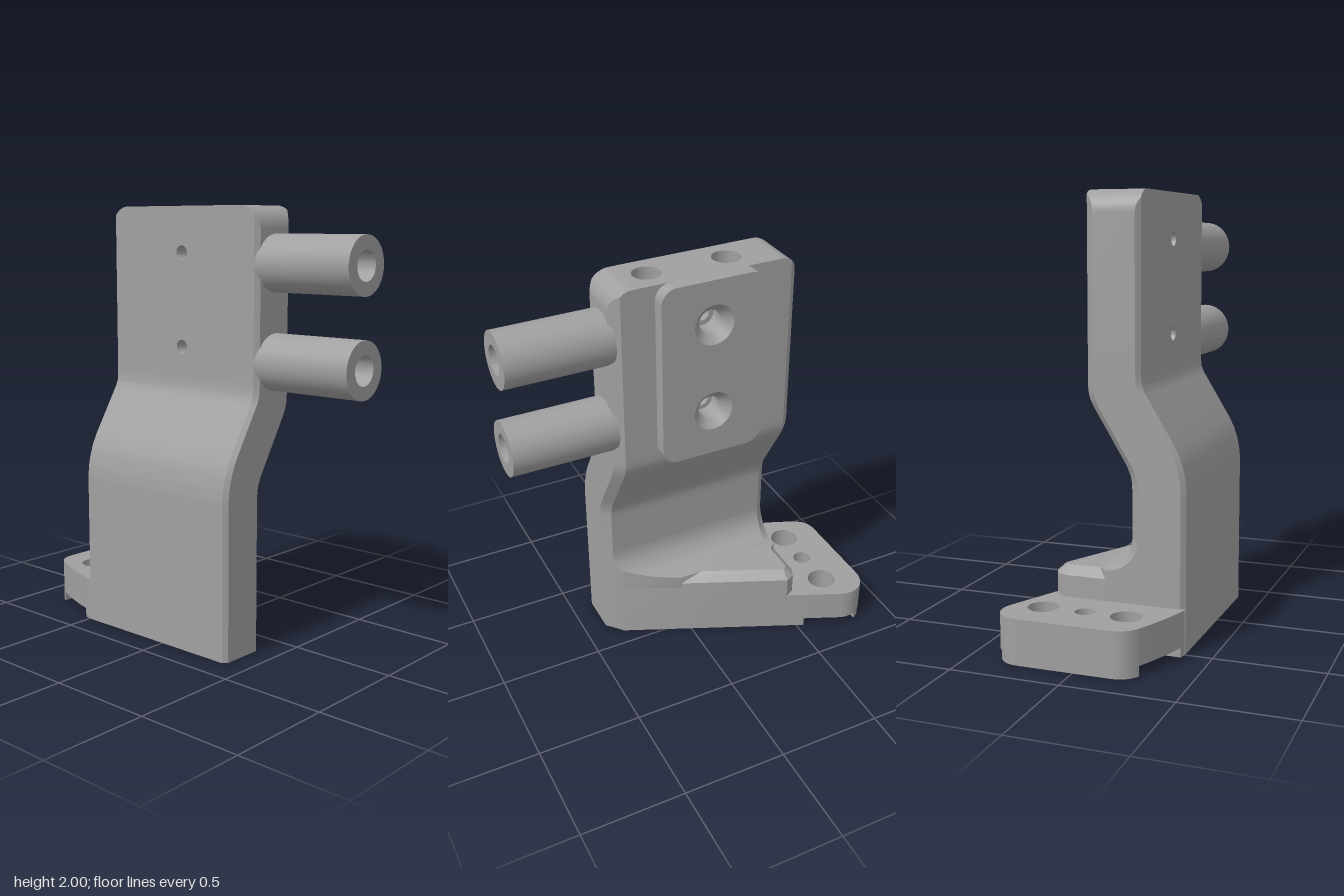
import * as THREE from 'three';
import { toCreasedNormals } from 'three/addons/utils/BufferGeometryUtils.js';

const metal = new THREE.MeshStandardMaterial({ color: 0xa0a0a0, side: THREE.DoubleSide });
metal.name = 'grey metal';

function add(parent, name, geometry) {
  const mesh = new THREE.Mesh(toCreasedNormals(geometry, 0.45), metal);
  mesh.name = name;
  parent.add(mesh);
  return mesh;
}

// Skin between rings of [x, y, z] points; skip(i, j) leaves a quad open
function loft(rings, skip = () => false) {
  const n = rings[0].length, index = [];
  for (let i = 0; i < rings.length - 1; i++) {
    for (let j = 0; j < n; j++) {
      if (skip(i, j)) continue;
      const k = (j + 1) % n, a = i * n + j, b = i * n + k;
      index.push(a, b, b + n, a, b + n, a + n);
    }
  }
  const g = new THREE.BufferGeometry();
  g.setAttribute('position', new THREE.Float32BufferAttribute(rings.flat(2), 3));
  g.setIndex(index);
  return g;
}

// Shape with round holes given as [x, y, radius]
function outline(points, holes = []) {
  const s = points instanceof THREE.Shape ? points : new THREE.Shape(points.map(p => new THREE.Vector2(...p)));
  for (const [x, y, r] of holes) s.holes.push(new THREE.Path().absarc(x, y, r, 0, Math.PI * 2, true));
  return s;
}
const flat = shape => new THREE.ShapeGeometry(shape, 20);
const prism = (shape, depth) =>
  new THREE.ExtrudeGeometry(shape, { depth, bevelEnabled: false, curveSegments: 20 });
// Plan shapes use (x, -z); side shapes use (-z, y)
const plan = (g, y) => g.rotateX(-Math.PI / 2).translate(0, y, 0);
const side = (g, x) => g.rotateY(Math.PI / 2).translate(x, 0, 0);
const cap = (ring, holes) => plan(flat(outline(ring.map(p => [p[0], -p[2]]), holes)), ring[0][1]);
const lathe = pts => new THREE.LatheGeometry(pts.map(p => new THREE.Vector2(...p)), 40);

// Piecewise linear x at height y, from [y, x] pairs
function follow(pairs, y) {
  for (let i = 1; i < pairs.length; i++) {
    const [y0, x0] = pairs[i - 1], [y1, x1] = pairs[i];
    if (y <= y1) return x0 + (x1 - x0) * (y - y0) / (y1 - y0);
  }
  return pairs[pairs.length - 1][1];
}

const ZC = -0.06, HALF = 0.45, PIN_X = -0.04;
const screwYs = [1.36, 1.79], pinYs = [1.315, 1.75];
const LEFT = [[0, -0.375], [0.72, -0.375], [0.77, -0.37], [0.82, -0.36], [0.87, -0.343],
  [0.92, -0.318], [1.14, -0.184], [1.17, -0.172], [1.22, -0.168], [2, -0.168]];
const RIGHT = [[0, -0.12], [0.7, -0.12], [0.74, -0.118], [0.77, -0.112], [0.81, -0.095],
  [1.07, 0.063], [1.1, 0.077], [1.13, 0.084], [1.16, 0.086], [2, 0.086]];

// Chamfered cross-section of the upright, narrowing at the rounded top
function wallRing(y) {
  const h = y <= 1.9 ? HALF : 0.35 + Math.sqrt(Math.max(0, 0.01 - (y - 1.9) ** 2));
  const l = follow(LEFT, y), r = follow(RIGHT, y);
  const cr = Math.max(0, 0.042 - HALF + h), cl = Math.max(0, 0.02 - HALF + h);
  return [[r, h - cr], [r, cr - h], [r - cr, -h], [l + cl, -h],
    [l, cl - h], [l, h - cl], [l + cl, h], [r - cr, h]].map(([x, z]) => [x, y, ZC + z]);
}

function buildUpright(parent) {
  const g = new THREE.Group();
  g.name = 'upright';
  parent.add(g);
  const ys = [...new Set([...LEFT, ...RIGHT].map(p => p[0]).filter(y => y < 2))];
  ys.push(1.25, 1.9);
  for (let i = 1; i <= 12; i++) ys.push(1.9 + 0.1 * Math.sin(i * Math.PI / 24));
  ys.sort((a, b) => a - b);
  const rings = ys.map(wallRing), start = ys.indexOf(1.25);
  add(g, 'uprightBody', loft(rings, (i, j) => i >= start && (j === 0 || j === 4)));
  add(g, 'uprightFoot', cap(rings[0]));
  // Drilled side faces
  const upper = rings.slice(start);
  for (const [name, a, b, radius] of [['padSideFace', 0, 1, 0.055], ['plainSideFace', 5, 4, 0.033]]) {
    const edge = [...upper.map(r => r[a]), ...upper.map(r => r[b]).reverse()];
    const shape = outline(edge.map(p => [-p[2], p[1]]), screwYs.map(y => [-ZC, y, radius]));
    add(g, name, side(flat(shape), edge[0][0]));
  }
  // Top face with two blind holes
  const zs = [-0.21, 0.17];
  add(g, 'topFace', cap(rings[rings.length - 1], zs.map(z => [PIN_X, -z, 0.066])));
  for (const z of zs)
    add(g, 'topHole', lathe([[0, 1.74], [0.066, 1.74], [0.066, 2]]).translate(PIN_X, 0, z));
}

function buildPad(parent) {
  const a = -0.19, b = 0.305, lo = 1.14, hi = 2, r = 0.07, s = new THREE.Shape();
  s.absarc(b - r, lo + r, r, -Math.PI / 2, 0);
  s.absarc(b - r, hi - r, r, 0, Math.PI / 2);
  s.absarc(a + r, hi - r, r, Math.PI / 2, Math.PI);
  s.absarc(a + r, lo + r, r, Math.PI, Math.PI * 1.5);
  add(parent, 'pad', side(prism(outline(s, screwYs.map(y => [-ZC, y, 0.095])), 0.064), 0.086));
  // Countersunk screw holes running through the upright
  for (const y of screwYs) {
    const hole = lathe([[0.033, -0.168], [0.033, 0.03], [0.055, 0.03], [0.055, 0.11], [0.095, 0.15]]);
    add(parent, 'screwHole', hole.rotateZ(-Math.PI / 2).translate(0, y, ZC));
  }
}

// Slanted front edge of the base in plan
const slant = x => 0.32 - 2.286 * (x + 0.085);

function buildBase(parent) {
  const g = new THREE.Group();
  g.name = 'base';
  parent.add(g);
  const low = [[-0.3, 0.39], [-0.165, 0.39], [-0.085, 0.32], [0.25, -0.446],
    [0.228, -0.49], [0.18, -0.51], [-0.3, -0.51]];
  const top = [[-0.3, 0.3], [-0.165, 0.33], [-0.12, 0.28], [0.206, -0.446],
    [0.195, -0.462], [0.175, -0.47], [-0.3, -0.47]];
  const at = (pts, y) => pts.map(([x, z]) => [x, y, z]);
  const rings = [at(low, 0), at(low, 0.305), at(top, 0.345)];
  add(g, 'baseBlock', loft(rings));
  add(g, 'baseTop', cap(rings[2]));
  add(g, 'baseBottom', cap(rings[0]));

  // Concave fillet between upright and base
  const fillet = (x, y) => {
    const x1 = Math.min(x, -0.085), z1 = 0.39 - (x1 + 0.165) * 0.875;
    return at([[-0.3, 0.39], [-0.165, 0.39], [x1, z1], [x, x > -0.085 ? slant(x) : z1],
      [x, -0.468], [x - 0.042, -0.51], [-0.3, -0.51]], y);
  };
  const curve = [fillet(0.035, 0.28)];
  for (let i = 0; i <= 14; i++) {
    const t = i / 14 * Math.PI / 2;
    curve.push(fillet(0.035 - 0.155 * Math.sin(t), 0.5 - 0.155 * Math.cos(t)));
  }
  add(g, 'baseFillet', loft(curve));

  // Rear flange with three holes
  const f = new THREE.Shape();
  f.moveTo(-0.36, 0.45);
  f.lineTo(0.25, 0.446);
  f.lineTo(0.36, 0.697);
  f.bezierCurveTo(0.40, 0.79, 0.34, 0.865, 0.25, 0.865);
  f.lineTo(-0.17, 0.865);
  f.quadraticCurveTo(-0.25, 0.865, -0.282, 0.78);
  f.quadraticCurveTo(-0.345, 0.64, -0.375, 0.51);
  outline(f, [[-0.17, 0.675, 0.07], [0.02, 0.675, 0.045], [0.215, 0.675, 0.07]]);
  add(g, 'flange', plan(prism(f, 0.16), 0.045));
  // Sole and rear lip on either side of the underside channel
  const sole = outline([[-0.36, 0.4], [0.23, 0.4], [0.289, 0.535], [-0.367, 0.535], [-0.373, 0.51]]);
  add(g, 'sole', plan(prism(sole, 0.045), 0));
  const lip = new THREE.Shape();
  lip.moveTo(-0.274, 0.8);
  lip.lineTo(0.357, 0.8);
  lip.quadraticCurveTo(0.325, 0.865, 0.25, 0.865);
  lip.lineTo(-0.17, 0.865);
  lip.quadraticCurveTo(-0.24, 0.865, -0.274, 0.8);
  add(g, 'rearLip', plan(prism(lip, 0.045), 0));
}

export function createModel() {
  const model = new THREE.Group();
  model.name = 'bracket';
  buildUpright(model);
  buildPad(model);
  buildBase(model);
  // Hollow pins on the front edge
  for (const y of pinYs) {
    const pin = lathe([[0.128, 0.37], [0.128, 0.865], [0.067, 0.865], [0.067, 0.37]]);
    add(model, 'hollowPin', pin.rotateX(Math.PI / 2).translate(PIN_X, y, 0));
  }
  return model;
}
